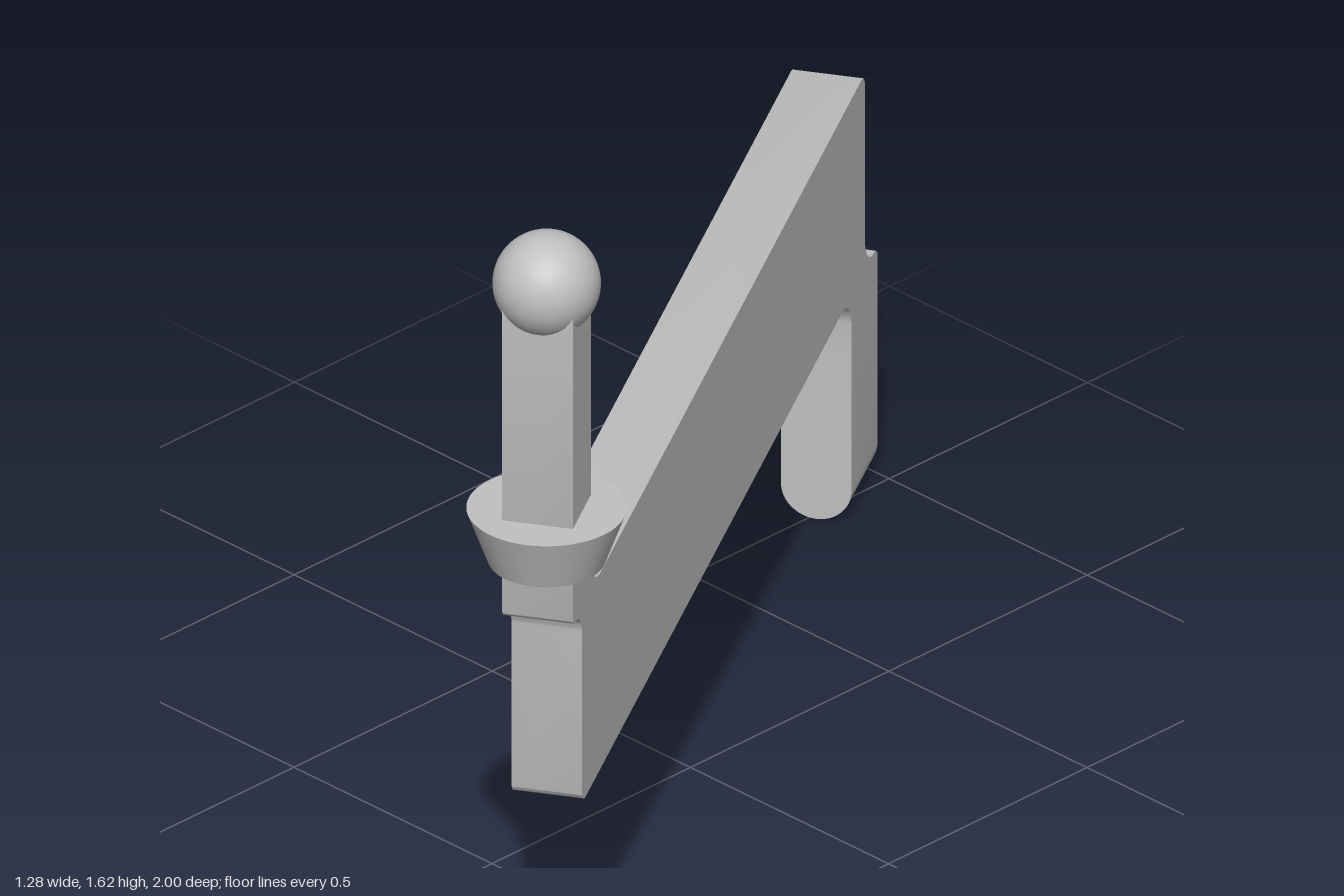
import * as THREE from 'three';
import { toCreasedNormals } from 'three/addons/utils/BufferGeometryUtils.js';

const THICK = 0.13;

// Closed shape from right-angled corners [x, y, radius], rounded where radius > 0
function roundedShape(corners) {
  const shape = new THREE.Shape();
  const n = corners.length;
  const toward = (a, b, d) => {
    const len = Math.hypot(b[0] - a[0], b[1] - a[1]);
    return [a[0] + (b[0] - a[0]) * d / len, a[1] + (b[1] - a[1]) * d / len];
  };
  corners.forEach((c, i) => {
    const prev = corners[(i + n - 1) % n], next = corners[(i + 1) % n], r = c[2];
    const a = r ? toward(c, prev, r) : c;
    if (i === 0) shape.moveTo(a[0], a[1]);
    else shape.lineTo(a[0], a[1]);
    if (!r) return;
    const b = toward(c, next, r);
    const h1 = toward(c, prev, r * 0.4477), h2 = toward(c, next, r * 0.4477);
    shape.bezierCurveTo(h1[0], h1[1], h2[0], h2[1], b[0], b[1]);
  });
  shape.closePath();
  return shape;
}

// Extrusion centred on its depth, with smooth curves and sharp edges
function slab(shape, depth) {
  const geo = new THREE.ExtrudeGeometry(shape, { depth, bevelEnabled: false, curveSegments: 12 });
  geo.translate(0, 0, -depth / 2);
  return toCreasedNormals(geo, 0.6);
}

export function createModel() {
  const group = new THREE.Group();
  const grey = new THREE.MeshStandardMaterial({ color: 0xc0c0c0 });
  grey.name = 'plain grey';

  const lever = new THREE.Group();
  lever.name = 'lever';
  // Local x runs along the bar, which lies diagonally in plan
  lever.rotation.y = THREE.MathUtils.degToRad(-59.4);
  group.add(lever);

  const add = (name, geo, x = 0, y = 0) => {
    const mesh = new THREE.Mesh(geo, grey);
    mesh.name = name;
    mesh.position.set(x, y, 0.0105);
    lever.add(mesh);
    return mesh;
  };

  // Bar with the stepped post at one end and the upper leg at the other
  add('bar', slab(roundedShape([
    [-1.128, 0.335, 0],
    [-0.94, 0.335, 0],
    [-0.94, 0.465, 0.065],
    [0.985, 0.465, 0.022],
    [0.985, 0.86, 0.05],
    [1.0525, 0.86, 0.017],
    [1.0525, 1.52, 0],
    [0.9215, 1.52, 0],
    [0.9215, 0.865, 0.065],
    [-1.036, 0.865, 0.022],
    [-1.036, 0.465, 0.065],
    [-1.128, 0.465, 0.025],
  ]), THICK));

  // Lower leg, its foot rounded across the thickness
  const r = THICK / 2;
  const foot = new THREE.Shape();
  foot.moveTo(r, 0.335);
  foot.lineTo(-r, 0.335);
  foot.lineTo(-r, r);
  foot.absarc(0, r, r, Math.PI, Math.PI * 2, false);
  foot.closePath();
  add('leg', slab(foot, 0.188), -1.034).rotation.y = Math.PI / 2;

  // Flared collar and ball on the post
  add('collar', new THREE.CylinderGeometry(0.1435, 0.105, 0.105, 64), 0.987, 1.0075);
  add('ball', new THREE.SphereGeometry(0.097, 48, 32), 0.987, 1.518);

  // Small peg under the bar
  add('peg', new THREE.CylinderGeometry(0.039, 0.039, 0.06, 32), 0.751, 0.448);

  return group;
}
